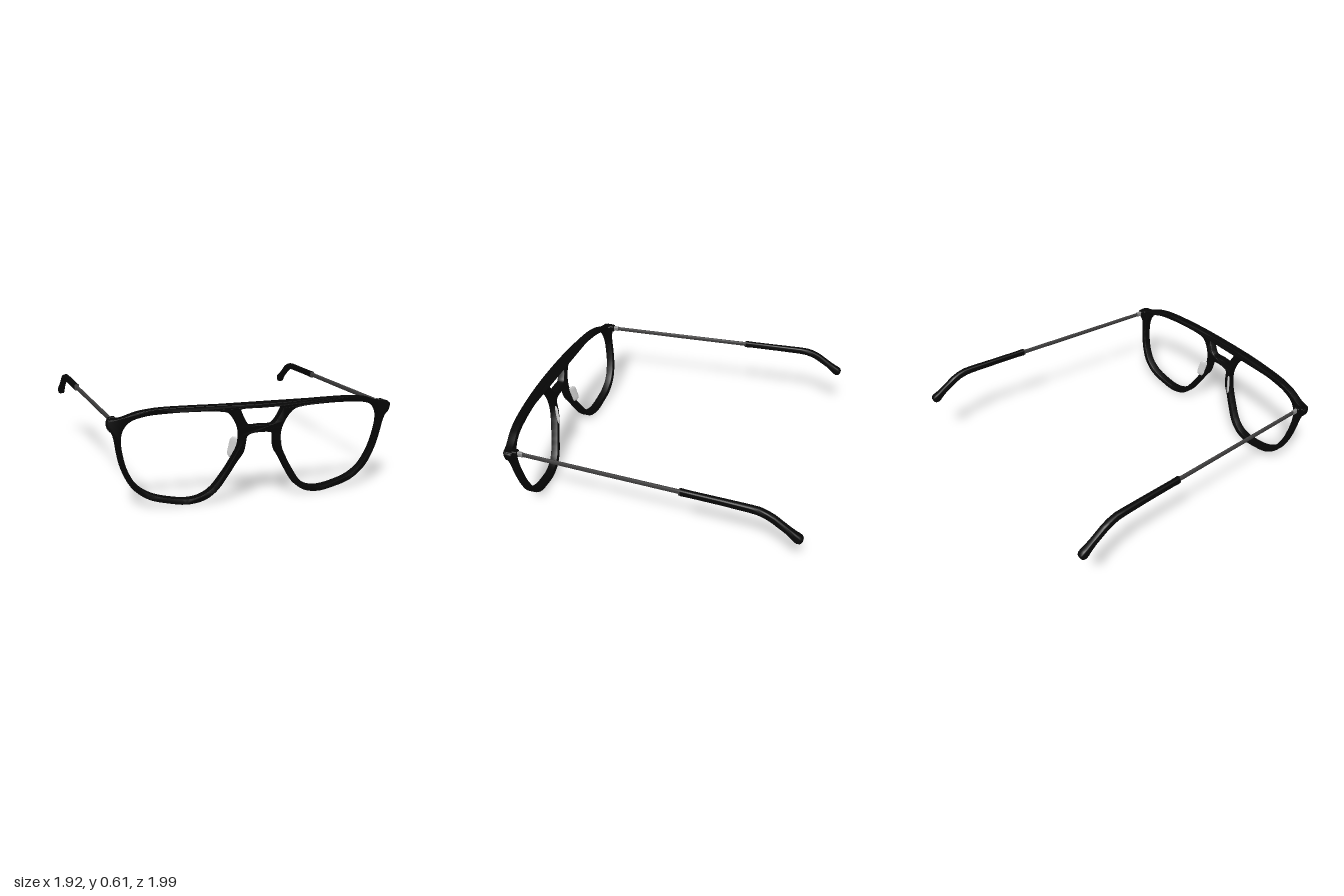
import * as THREE from 'three';
import { toCreasedNormals } from 'three/addons/utils/BufferGeometryUtils.js';
import { RoundedBoxGeometry } from 'three/addons/geometries/RoundedBoxGeometry.js';

const black = new THREE.MeshStandardMaterial({ color: 0x060606 });
black.name = 'black acetate';
const darkMetal = new THREE.MeshStandardMaterial({ color: 0x403f3f });
darkMetal.name = 'dark metal';
const paleMetal = new THREE.MeshStandardMaterial({ color: 0x858585 });
paleMetal.name = 'pale metal';
const silicone = new THREE.MeshStandardMaterial({ color: 0xd0d0d0 });
silicone.name = 'pale silicone';

function part(name, geometry, material, parent) {
  const mesh = new THREE.Mesh(geometry, material);
  mesh.name = name;
  parent.add(mesh);
  return mesh;
}

// Smooth closed loop through a few points
function loop(points, count, mirror = 1) {
  const curve = new THREE.CatmullRomCurve3(
    points.map(([x, y]) => new THREE.Vector3(x * mirror, y, 0)), true, 'centripetal');
  return curve.getPoints(count).slice(0, -1).map((p) => new THREE.Vector2(p.x, p.y));
}

// Wrap and lean of the front: depth of its mid surface at (x, y)
const frontZ = (x, y) => 0.879 + 0.15 * y - 0.035 * Math.max(Math.abs(x) - 0.1, 0) - 0.07 * x * x;

// Sweep of rounded-rectangle sections [x, y, z, halfWidth, halfHeight]
function sweep(sections, side, sides = 20) {
  const pos = [], index = [], n = sections.length;
  sections.forEach(([x, y, z, w, h], i) => {
    const a = sections[Math.max(i - 1, 0)], b = sections[Math.min(i + 1, n - 1)];
    const ty = b[1] - a[1], tz = b[2] - a[2], len = Math.hypot(ty, tz);
    for (let j = 0; j < sides; j++) {
      const t = (j / sides) * Math.PI * 2, c = Math.cos(t), s = Math.sin(t);
      const u = Math.sign(c) * Math.sqrt(Math.abs(c)) * w;
      const v = Math.sign(s) * Math.sqrt(Math.abs(s)) * h;
      pos.push(x * side + u, y - (v * tz) / len, z + (v * ty) / len);
      if (i < n - 1) {
        const p = i * sides + j, q = i * sides + ((j + 1) % sides);
        index.push(p, p + sides, q, q, p + sides, q + sides);
      }
    }
  });
  // End caps
  for (let j = 1; j < sides - 1; j++) {
    const e = (n - 1) * sides;
    index.push(0, j, j + 1, e, e + j + 1, e + j);
  }
  const g = new THREE.BufferGeometry();
  g.setAttribute('position', new THREE.Float32BufferAttribute(pos, 3));
  g.setIndex(index);
  return toCreasedNormals(g, 0.8);
}

// Front: one outline with two lens openings and the gap under the brow bar
function frontGeometry() {
  const half = [
    [0.12, 0.601], [0.25, 0.604], [0.5, 0.603], [0.6, 0.599], [0.66, 0.592], [0.72, 0.58],
    [0.8, 0.552], [0.835, 0.545], [0.87, 0.541], [0.879, 0.53], [0.875, 0.49], [0.852, 0.462],
    [0.838, 0.42], [0.825, 0.34], [0.8, 0.24], [0.745, 0.13], [0.65, 0.053], [0.53, 0.018],
    [0.42, 0.003], [0.32, 0.023], [0.25, 0.075], [0.19, 0.163], [0.14, 0.25], [0.1, 0.315],
    [0.09, 0.38], [0.085, 0.41], [0.06, 0.426],
  ];
  // Counter-clockwise, so that the openings are wound against it
  const outline = half.concat(half.map(([x, y]) => [-x, y]).reverse()).reverse();
  const lens = [
    [0.26, 0.571], [0.4, 0.576], [0.55, 0.573], [0.68, 0.56], [0.76, 0.53], [0.798, 0.48],
    [0.808, 0.42], [0.797, 0.33], [0.772, 0.24], [0.713, 0.137], [0.63, 0.078], [0.52, 0.046],
    [0.42, 0.034], [0.34, 0.05], [0.278, 0.093], [0.224, 0.167], [0.174, 0.25], [0.136, 0.33],
    [0.124, 0.4], [0.133, 0.46], [0.167, 0.525], [0.202, 0.558],
  ];
  const gap = [
    [0, 0.579], [0.115, 0.579], [0.132, 0.574], [0.128, 0.56], [0.092, 0.492], [0.07, 0.472], [0, 0.472],
    [-0.07, 0.472], [-0.092, 0.492], [-0.128, 0.56], [-0.132, 0.574], [-0.115, 0.579],
  ];
  const shape = new THREE.Shape(loop(outline, 220));
  for (const pts of [loop(lens, 110), loop(lens, 110, -1), loop(gap, 60)]) {
    shape.holes.push(new THREE.Path(pts));
  }
  const g = new THREE.ExtrudeGeometry(shape, {
    depth: 0.044, bevelEnabled: true, bevelThickness: 0.004, bevelSize: 0.003,
    bevelOffset: -0.001, bevelSegments: 2,
  });
  const p = g.attributes.position;
  for (let i = 0; i < p.count; i++) {
    p.setZ(i, p.getZ(i) - 0.022 + frontZ(p.getX(i), p.getY(i)));
  }
  return toCreasedNormals(g, 0.7);
}

export function createModel() {
  const model = new THREE.Group();
  model.name = 'eyeglasses';
  part('frontFrame', frontGeometry(), black, model);

  for (const side of [1, -1]) {
    const prefix = side > 0 ? 'left' : 'right';
    const temple = new THREE.Group();
    temple.name = prefix + 'Temple';
    model.add(temple);

    // Corner block and hinge behind the front
    part('endPiece', new RoundedBoxGeometry(0.06, 0.064, 0.05, 2, 0.008), black, temple)
      .position.set(0.847 * side, 0.514, 0.868);
    part('hingeBlock', new RoundedBoxGeometry(0.042, 0.048, 0.04, 2, 0.008), black, temple)
      .position.set(0.845 * side, 0.526, 0.838);
    part('hingeKnuckle', sweep([
      [0.845, 0.527, 0.83, 0.012, 0.019], [0.847, 0.527, 0.785, 0.01, 0.017],
    ], side), paleMetal, temple);

    // Thin metal arm and the collar where it enters the ear tip
    part('arm', sweep([
      [0.847, 0.527, 0.79, 0.007, 0.014], [0.873, 0.526, 0.27, 0.007, 0.015],
      [0.9, 0.526, -0.27, 0.008, 0.015],
    ], side), darkMetal, temple);
    part('collar', sweep([
      [0.9, 0.526, -0.247, 0.015, 0.02], [0.9, 0.526, -0.256, 0.016, 0.022],
    ], side), darkMetal, temple);

    // Ear tip, bending down and swelling at its end
    part('earTip', sweep([
      [0.9, 0.526, -0.255, 0.017, 0.023],
      [0.903, 0.526, -0.31, 0.016, 0.021], [0.912, 0.526, -0.5, 0.017, 0.021],
      [0.922, 0.525, -0.68, 0.019, 0.022], [0.924, 0.521, -0.73, 0.02, 0.023],
      [0.927, 0.508, -0.775, 0.02, 0.023], [0.929, 0.489, -0.815, 0.02, 0.023],
      [0.934, 0.433, -0.9, 0.02, 0.022], [0.936, 0.404, -0.94, 0.022, 0.025],
      [0.937, 0.39, -0.96, 0.024, 0.029], [0.938, 0.379, -0.977, 0.024, 0.028],
      [0.938, 0.372, -0.989, 0.019, 0.02], [0.938, 0.37, -0.994, 0.01, 0.01],
    ], side), black, temple);

    // Nose pad, leaning outwards towards the bottom and back
    const pad = part(prefix + 'NosePad', new THREE.CapsuleGeometry(0.034, 0.068, 8, 20), silicone, model);
    pad.scale.set(1, 1, 0.25);
    pad.rotation.set(0, 0.7 * side, 0.22 * side, 'YXZ');
    pad.position.set(0.142 * side, 0.33, 0.893);
  }
  return model;
}
